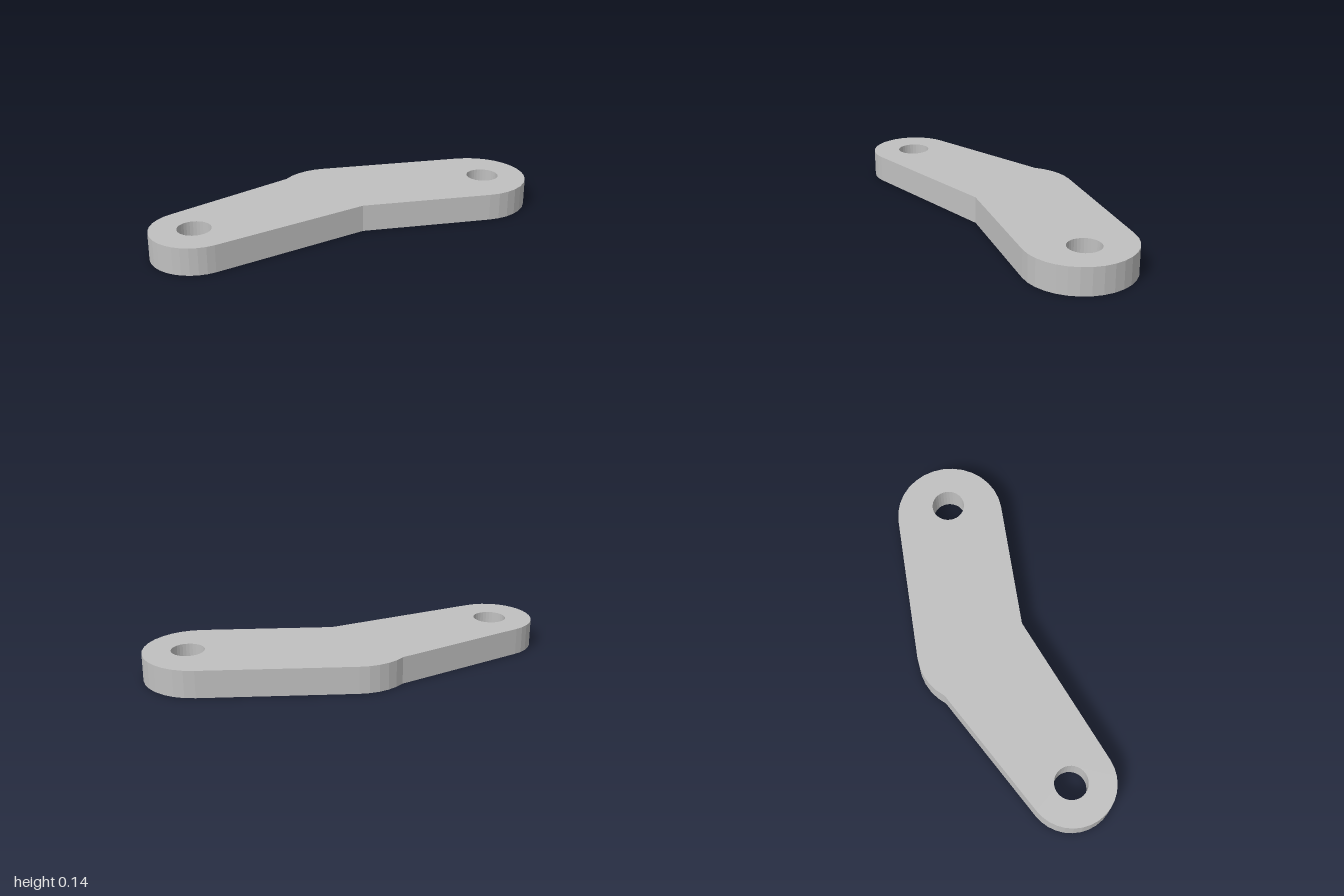
import * as THREE from 'three';

const rad = THREE.MathUtils.degToRad;

// Points along a circular arc, angles in degrees
function arc(cx, cy, r, from, to, steps) {
  return Array.from({ length: steps + 1 }, (_, i) => {
    const a = rad(from + (to - from) * i / steps);
    return new THREE.Vector2(cx + r * Math.cos(a), cy + r * Math.sin(a));
  });
}

export function createModel() {
  const group = new THREE.Group();
  group.name = 'bentLink';
  const grey = new THREE.MeshStandardMaterial({ color: 0xc0c0c0, flatShading: true });
  grey.name = 'plain grey';

  // Plan outline, counter-clockwise (shape y points to the back)
  const outline = new THREE.Shape([
    new THREE.Vector2(0.06, -0.112),            // inner bend
    ...arc(0.727, 0.161, 0.273, -90, 90, 16),   // wide rounded end
    ...arc(-0.04, 0.161, 0.273, 90, 142.5, 5),  // rounded outer elbow
    ...arc(-0.782, -0.213, 0.218, 118.7, 291.2, 16), // narrow rounded end
  ]);

  // Bolt hole in each end
  for (const [x, y] of [[0.778, 0.163], [-0.782, -0.21]]) {
    outline.holes.push(new THREE.Path(arc(x, y, 0.083, 360, 0, 32).slice(0, -1)));
  }

  const geometry = new THREE.ExtrudeGeometry(outline, { depth: 0.138, bevelEnabled: false });
  geometry.rotateX(-Math.PI / 2);
  const plate = new THREE.Mesh(geometry, grey);
  plate.name = 'linkPlate';
  group.add(plate);
  return group;
}
